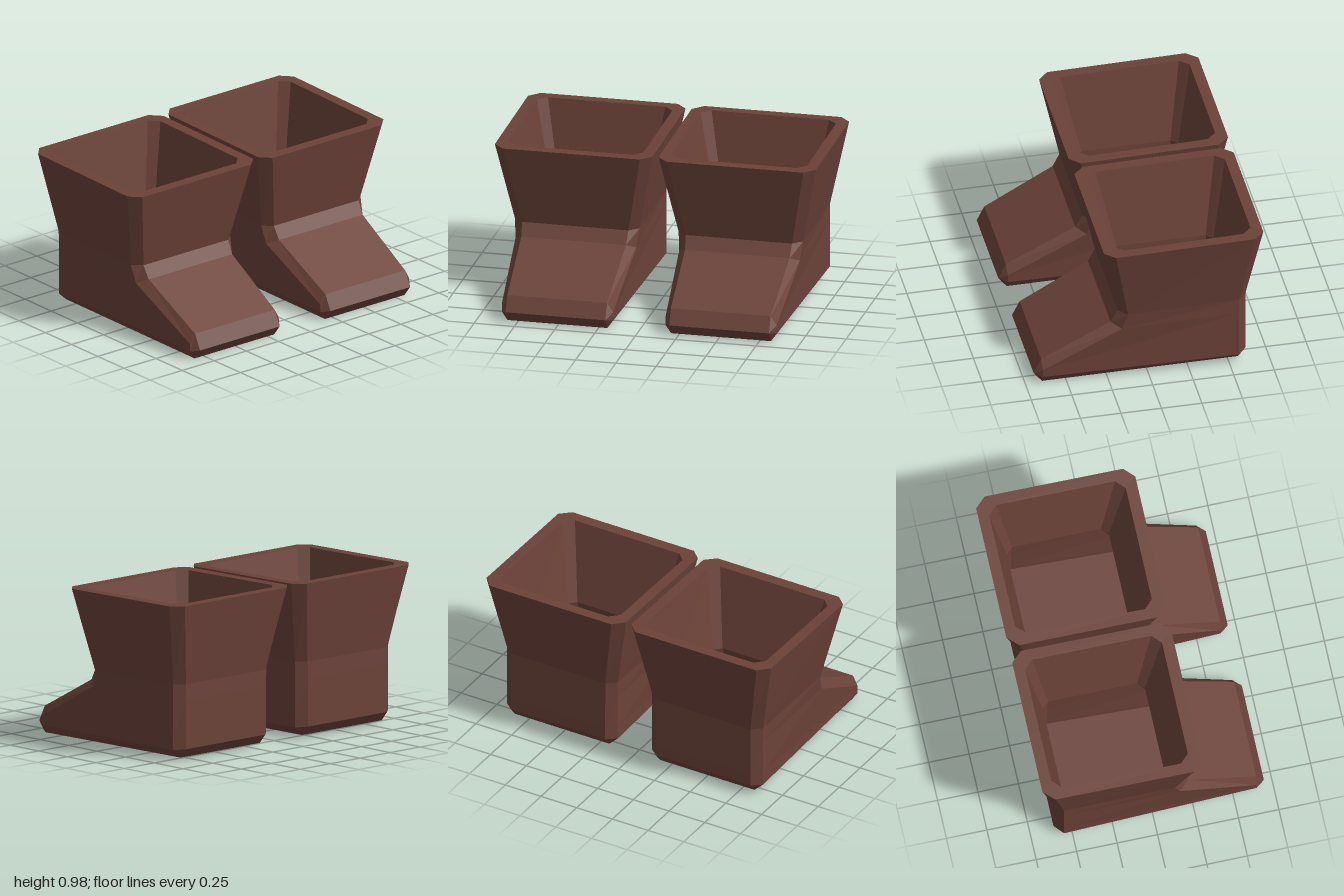
import * as THREE from 'three';

const leather = new THREE.MeshStandardMaterial({ color: 0x6b4239, flatShading: true });
leather.name = 'brown leather';

// Eight-cornered section; each argument is [half width, y, z]
// for the front edge, front of the side, back of the side and back edge.
function ring(front, sideFront, sideBack, back) {
  const half = [front, sideFront, sideBack, back];
  const at = ([w, y, z], s) => new THREE.Vector3(s * w, y, z);
  return [
    at(front, -1),
    ...half.map((p) => at(p, 1)),
    ...half.slice(1).reverse().map((p) => at(p, -1)),
  ];
}

// Skin over successive rings, closed at both ends.
function loft(rings) {
  const pos = [];
  const tri = (a, b, c) => {
    const n = b.clone().sub(a).cross(c.clone().sub(a));
    if (n.length() > 1e-7) pos.push(...a.toArray(), ...b.toArray(), ...c.toArray());
  };
  for (let i = 0; i < rings.length - 1; i++) {
    for (let j = 0; j < 8; j++) {
      const k = (j + 1) % 8;
      const [a, b, c, d] = [rings[i][j], rings[i][k], rings[i + 1][k], rings[i + 1][j]];
      tri(a, b, c);
      tri(a, c, d);
    }
  }
  const first = rings[0];
  const last = rings[rings.length - 1];
  for (let j = 1; j < 7; j++) {
    tri(first[0], first[j + 1], first[j]);
    tri(last[0], last[j], last[j + 1]);
  }
  const geo = new THREE.BufferGeometry();
  geo.setAttribute('position', new THREE.Float32BufferAttribute(pos, 3));
  geo.computeVertexNormals();
  return geo;
}

function bootGeometry() {
  return loft([
    // outside: sole, welt, toe, instep, ankle, cuff
    ring([0.31, 0.003, 0.645], [0.31, 0.003, 0.645], [0.33, 0.022, -0.56], [0.33, 0.022, -0.56]),
    ring([0.31, 0.07, 0.697], [0.345, 0.055, 0.645], [0.388, 0.075, -0.555], [0.33, 0.08, -0.608]),
    ring([0.31, 0.165, 0.65], [0.345, 0.105, 0.645], [0.388, 0.16, -0.555], [0.33, 0.16, -0.608]),
    ring([0.325, 0.39, 0.225], [0.375, 0.36, 0.165], [0.388, 0.38, -0.555], [0.33, 0.38, -0.607]),
    ring([0.33, 0.47, 0.182], [0.387, 0.47, 0.13], [0.389, 0.48, -0.555], [0.33, 0.48, -0.606]),
    ring([0.425, 0.968, 0.287], [0.489, 0.97, 0.225], [0.489, 0.984, -0.63], [0.425, 0.985, -0.697]),
    // inside: rim, ankle, instep, toe, insole
    ring([0.365, 0.968, 0.215], [0.42, 0.97, 0.16], [0.42, 0.984, -0.575], [0.365, 0.985, -0.63]),
    ring([0.275, 0.48, 0.09], [0.315, 0.48, 0.05], [0.315, 0.48, -0.5], [0.275, 0.48, -0.54]),
    ring([0.275, 0.34, 0.15], [0.315, 0.32, 0.11], [0.32, 0.34, -0.505], [0.28, 0.34, -0.545]),
    ring([0.26, 0.13, 0.56], [0.285, 0.11, 0.53], [0.32, 0.12, -0.505], [0.28, 0.12, -0.545]),
    ring([0.26, 0.07, 0.56], [0.285, 0.07, 0.53], [0.32, 0.08, -0.505], [0.28, 0.08, -0.545]),
  ]);
}

export function createModel() {
  const group = new THREE.Group();
  group.name = 'bootPair';
  const geometry = bootGeometry();
  for (const [name, x] of [['leftBoot', 0.508], ['rightBoot', -0.508]]) {
    const boot = new THREE.Mesh(geometry, leather);
    boot.name = name;
    boot.position.x = x;
    group.add(boot);
  }
  return group;
}
